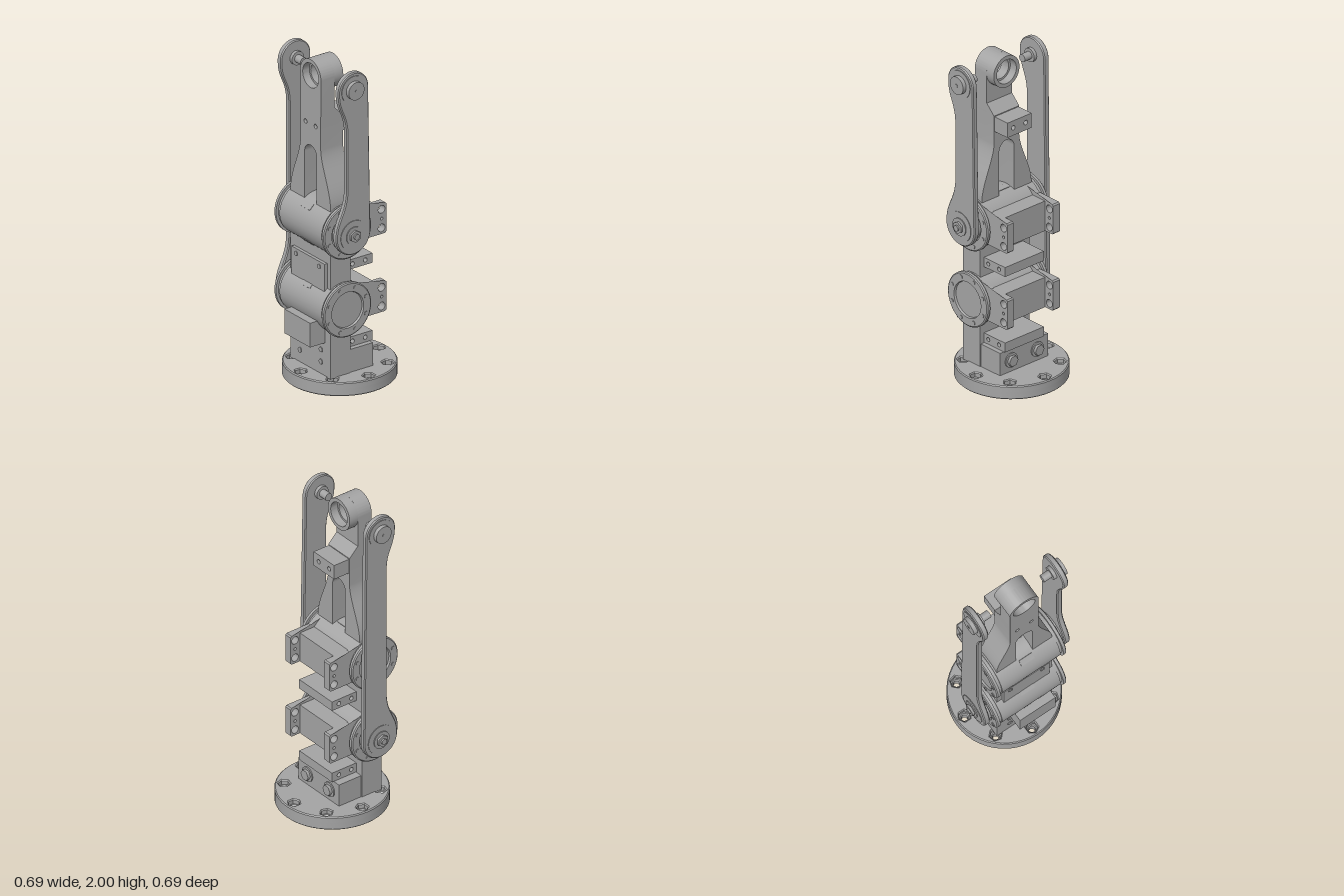
import * as THREE from 'three';
import { toCreasedNormals } from 'three/addons/utils/BufferGeometryUtils.js';

const grey = new THREE.MeshStandardMaterial({ color: 0xa4a4a4 });
grey.name = 'machined grey';

const AXIS = -0.1;   // x of the motor axes
const MID = -0.02;   // z of the link centre plane
const TOP = 1.895;   // height of the wrist axis

function add(parent, name, geometry) {
  const mesh = new THREE.Mesh(geometry, grey);
  mesh.name = name;
  parent.add(mesh);
  return mesh;
}

function box(parent, name, x0, x1, y0, y1, z0, z1) {
  const g = new THREE.BoxGeometry(x1 - x0, y1 - y0, z1 - z0);
  return add(parent, name, g.translate((x0 + x1) / 2, (y0 + y1) / 2, (z0 + z1) / 2));
}

// cylinder along z between two depths, in either order
function cylZ(parent, name, r, x, y, za, zb, sides = 32) {
  const g = new THREE.CylinderGeometry(r, r, Math.abs(zb - za), sides).rotateX(Math.PI / 2);
  return add(parent, name, g.translate(x, y, (za + zb) / 2));
}

function cylX(parent, name, r, y, z, x0, x1, sides = 24) {
  const g = new THREE.CylinderGeometry(r, r, x1 - x0, sides).rotateZ(Math.PI / 2);
  return add(parent, name, g.translate((x0 + x1) / 2, y, z));
}

function circle(x, y, r, sides = 0, turn = 0) {
  const p = new THREE.Path();
  if (!sides) return p.absarc(x, y, r, 0, Math.PI * 2, true);
  const pts = [];
  for (let i = 0; i < sides; i++) {
    const a = turn - i / sides * Math.PI * 2;
    pts.push(new THREE.Vector2(x + r * Math.cos(a), y + r * Math.sin(a)));
  }
  return p.setFromPoints(pts).closePath() || p;
}

function rect(x0, x1, y0, y1) {
  const s = new THREE.Shape();
  s.moveTo(x0, y0); s.lineTo(x1, y0); s.lineTo(x1, y1); s.lineTo(x0, y1); s.closePath();
  return s;
}

function extrude(shape, depth, bevel = 0) {
  const g = new THREE.ExtrudeGeometry(shape, {
    depth: depth - 2 * bevel, curveSegments: 24, bevelEnabled: bevel > 0,
    bevelSize: bevel, bevelOffset: -bevel, bevelThickness: bevel, bevelSegments: 1,
  });
  return toCreasedNormals(g.translate(0, 0, bevel), 0.5);
}

// a symmetric (z, y) outline given thickness along x, centred on the link plane
function slabX(parent, name, shape, x0, x1) {
  return add(parent, name, extrude(shape, x1 - x0).rotateY(Math.PI / 2).translate(x0, 0, MID));
}

function slabZ(parent, name, shape, z0, z1, bevel) {
  return add(parent, name, extrude(shape, z1 - z0, bevel).translate(0, 0, z0));
}

// round base with eight counterbored hexagonal bolt holes
function base(parent) {
  const g = new THREE.Group();
  g.name = 'base';
  const layer = (name, y, h, r, sides, hole) => {
    const s = new THREE.Shape().absarc(0, 0, r, 0, Math.PI * 2);
    for (let i = 0; i < 8; i++) {
      const a = i * Math.PI / 4;
      s.holes.push(circle(0.274 * Math.cos(a), 0.274 * Math.sin(a), hole, sides, a));
    }
    add(g, name, extrude(s, h, 0.006).rotateX(-Math.PI / 2).translate(0, y, 0));
  };
  layer('basePlate', 0, 0.055, 0.327, 0, 0.018);
  layer('baseRim', 0.043, 0.042, 0.327, 6, 0.035);
  g.position.set(0.016, 0, -0.017);
  parent.add(g);
}

// motor housing with end flanges, rear box and mounting tabs
function motor(parent, y) {
  const g = new THREE.Group();
  g.name = 'motor';
  const profile = [
    [0, -0.25], [0.108, -0.25], [0.112, -0.262], [0.16, -0.262], [0.167, -0.256], [0.167, -0.24],
    [0.15, -0.24], [0.15, -0.22], [0.157, -0.22], [0.157, 0.18], [0.15, 0.18], [0.15, 0.195],
    [0.167, 0.195], [0.167, 0.212], [0.16, 0.217], [0.112, 0.217], [0.108, 0.205], [0, 0.205],
  ].map(p => new THREE.Vector2(p[0], p[1]));
  const body = new THREE.LatheGeometry(profile, 56).rotateX(Math.PI / 2);
  add(g, 'motorHousing', toCreasedNormals(body, 0.4).translate(AXIS, 0, 0));
  for (let i = 0; i < 8; i++) {
    const a = (i + 0.5) * Math.PI / 4;
    const x = AXIS + 0.138 * Math.cos(a), h = 0.138 * Math.sin(a);
    cylZ(g, 'flangeScrew', 0.012, x, h, 0.215, 0.221, 12);
    cylZ(g, 'flangeScrew', 0.012, x, h, -0.267, -0.26, 12);
  }
  // vent covers around the housing
  for (const a of [0.45, 0.75, -0.45, -0.75]) {
    const vent = add(g, 'ventCover', new THREE.BoxGeometry(0.008, 0.04, 0.09));
    vent.position.set(AXIS + 0.155 * Math.cos(a * Math.PI), 0.155 * Math.sin(a * Math.PI), MID);
    vent.rotation.z = a * Math.PI;
  }
  box(g, 'motorBox', AXIS, 0.128, -0.095, 0.095, -0.175, 0.14);
  const tab = new THREE.Shape();
  [[AXIS, -0.15], [-0.03, -0.14], [0.03, -0.095], [0.188, -0.095], [0.196, -0.087], [0.196, 0.087],
    [0.188, 0.095], [0.03, 0.095], [-0.03, 0.14], [AXIS, 0.15]]
    .forEach((p, i) => (i ? tab.lineTo(p[0], p[1]) : tab.moveTo(p[0], p[1])));
  tab.closePath();
  for (const s of [-1, 1]) tab.holes.push(circle(0.163, s * 0.058, 0.024));
  tab.holes.push(circle(0.163, 0, 0.009));
  slabZ(g, 'frontMountTab', tab, 0.135, 0.182);
  slabZ(g, 'rearMountTab', tab, -0.221, -0.17);
  g.position.y = y;
  parent.add(g);
}

// side arm from a motor shaft up to the wrist; dir +1 front, -1 back
function arm(parent, name, yb, zIn, zOut, dir) {
  const g = new THREE.Group();
  g.name = name;
  const s = new THREE.Shape();
  s.moveTo(AXIS + 0.12, yb);
  s.lineTo(AXIS + 0.105, TOP);
  s.absarc(AXIS, TOP, 0.105, 0, Math.PI);
  s.bezierCurveTo(-0.205, TOP - 0.13, -0.145, TOP - 0.13, -0.145, TOP - 0.28);
  s.lineTo(-0.145, yb + 0.3);
  s.bezierCurveTo(-0.145, yb + 0.15, -0.22, yb + 0.12, -0.22, yb);
  s.absarc(AXIS, yb, 0.12, Math.PI, Math.PI * 2);
  slabZ(g, 'armPlate', s, Math.min(zIn, zOut), Math.max(zIn, zOut), 0.006);
  cylZ(g, 'shaftHub', 0.1, AXIS, yb, dir * 0.2, zIn + dir * 0.005);
  cylZ(g, 'shaftDisc', 0.092, AXIS, yb, zOut - dir * 0.005, zOut + dir * 0.004);
  cylZ(g, 'shaftWasher', 0.055, AXIS, yb, zOut, zOut + dir * 0.01);
  cylZ(g, 'shaftNut', 0.037, AXIS, yb, zOut, zOut + dir * 0.024, 6);
  cylZ(g, 'shaftEnd', 0.018, AXIS, yb, zOut, zOut + dir * 0.034, 16);
  cylZ(g, 'wristDisc', 0.085, AXIS, TOP, zOut - dir * 0.005, zOut + dir * 0.004);
  cylZ(g, 'wristCap', 0.055, AXIS, TOP, zOut, zOut + dir * 0.028);
  cylZ(g, 'wristCapCentre', 0.01, AXIS, TOP, zOut, zOut + dir * 0.031, 12);
  cylZ(g, 'wristCollar', 0.042, AXIS, TOP, zIn, zIn - dir * 0.02);
  cylZ(g, 'wristPin', 0.024, AXIS, TOP, zIn, zIn - dir * 0.075, 16);
  parent.add(g);
}

// forked upper link with arch slot, neck and wrist ring
function upperLink(parent) {
  const g = new THREE.Group();
  g.name = 'upperLink';
  const fork = new THREE.Shape();
  fork.moveTo(-0.19, 0.98);
  fork.lineTo(0.19, 0.98);
  fork.lineTo(0.19, 1.15);
  fork.bezierCurveTo(0.185, 1.25, 0.1, 1.38, 0.097, 1.47);
  fork.lineTo(0.097, 1.65);
  fork.lineTo(-0.097, 1.65);
  fork.lineTo(-0.097, 1.47);
  fork.bezierCurveTo(-0.1, 1.38, -0.185, 1.25, -0.19, 1.15);
  fork.closePath();
  const slot = new THREE.Path();
  slot.moveTo(-0.057, 1.06);
  slot.lineTo(0.057, 1.06);
  slot.lineTo(0.057, 1.41);
  slot.absarc(0, 1.41, 0.057, 0, Math.PI);
  slot.closePath();
  const pins = () => [-0.048, 0.048].map(x => circle(x, 1.6, 0.014));
  fork.holes.push(slot, ...pins());
  slabX(g, 'fork', fork, -0.187, -0.03);
  const block = rect(-0.093, 0.093, 1.552, 1.645);
  block.holes.push(...pins());
  slabX(g, 'stopBlock', block, -0.03, 0.078);

  const wedge = new THREE.Shape();
  wedge.moveTo(-0.187, 1.65); wedge.lineTo(-0.03, 1.65);
  wedge.lineTo(-0.09, 1.71); wedge.lineTo(-0.187, 1.71);
  wedge.closePath();
  slabZ(g, 'neckWedge', wedge, MID - 0.097, MID + 0.097);
  const neck = new THREE.Shape();
  neck.moveTo(-0.097, 1.65); neck.lineTo(0.097, 1.65); neck.lineTo(0.097, 1.9);
  neck.absarc(0, 1.9, 0.099, 0, Math.PI);
  neck.closePath();
  neck.holes.push(circle(0, 1.9, 0.075));
  slabX(g, 'neck', neck, -0.187, -0.09);
  const ring = (name, ro, ri, x0, x1) => {
    const s = new THREE.Shape().absarc(0, 1.9, ro, 0, Math.PI * 2);
    s.holes.push(circle(0, 1.9, ri));
    slabX(g, name, s, x0, x1);
  };
  ring('wristRing', 0.099, 0.075, -0.09, -0.03);
  ring('bearingLip', 0.077, 0.062, -0.14, -0.08);
  parent.add(g);
}

export function createModel() {
  const root = new THREE.Group();
  root.name = 'robotArm';
  const arms = new THREE.Group();
  arms.name = 'assembly';
  arms.rotation.y = 0.486;
  root.add(arms);

  base(arms);

  // pedestal bolted to the base
  box(arms, 'pedestalColumn', -0.187, -0.045, 0.08, 0.45, -0.21, 0.17);
  box(arms, 'pedestalFoot', -0.05, 0.115, 0.08, 0.227, -0.205, 0.165);
  for (const z of [-0.12, 0.08]) {
    cylX(arms, 'footWasher', 0.046, 0.157, z, 0.11, 0.122);
    cylX(arms, 'footBolt', 0.034, 0.157, z, 0.11, 0.14, 6);
    for (const y of [0.16, 0.235]) cylX(arms, 'columnScrew', 0.016, y, z, -0.192, -0.18, 16);
  }
  box(arms, 'middleColumn', -0.187, -0.045, 0.6, 0.92, -0.21, 0.17);

  // stop shelves behind each column
  for (const y of [0.23, 0.71]) {
    const shelf = rect(-0.05, 0.13, y, y + 0.06);
    for (const x of [-0.01, 0.08]) shelf.holes.push(circle(x, y + 0.03, 0.013));
    slabZ(arms, 'stopShelf', shelf, -0.16, 0.14);
  }
  // front bumper and cover plate
  box(arms, 'frontBumper', -0.294, -0.18, 0.29, 0.44, -0.124, 0.12);
  box(arms, 'coverPlate', -0.207, -0.18, 0.62, 0.79, -0.175, 0.14);
  for (const z of [-0.13, 0.09]) cylX(arms, 'coverScrew', 0.014, 0.76, z, -0.212, -0.2, 16);

  motor(arms, 0.505);
  motor(arms, 0.99);
  upperLink(arms);
  arm(arms, 'frontArm', 0.99, 0.237, 0.273, 1);
  arm(arms, 'backArm', 0.505, -0.278, -0.315, -1);
  return root;
}
